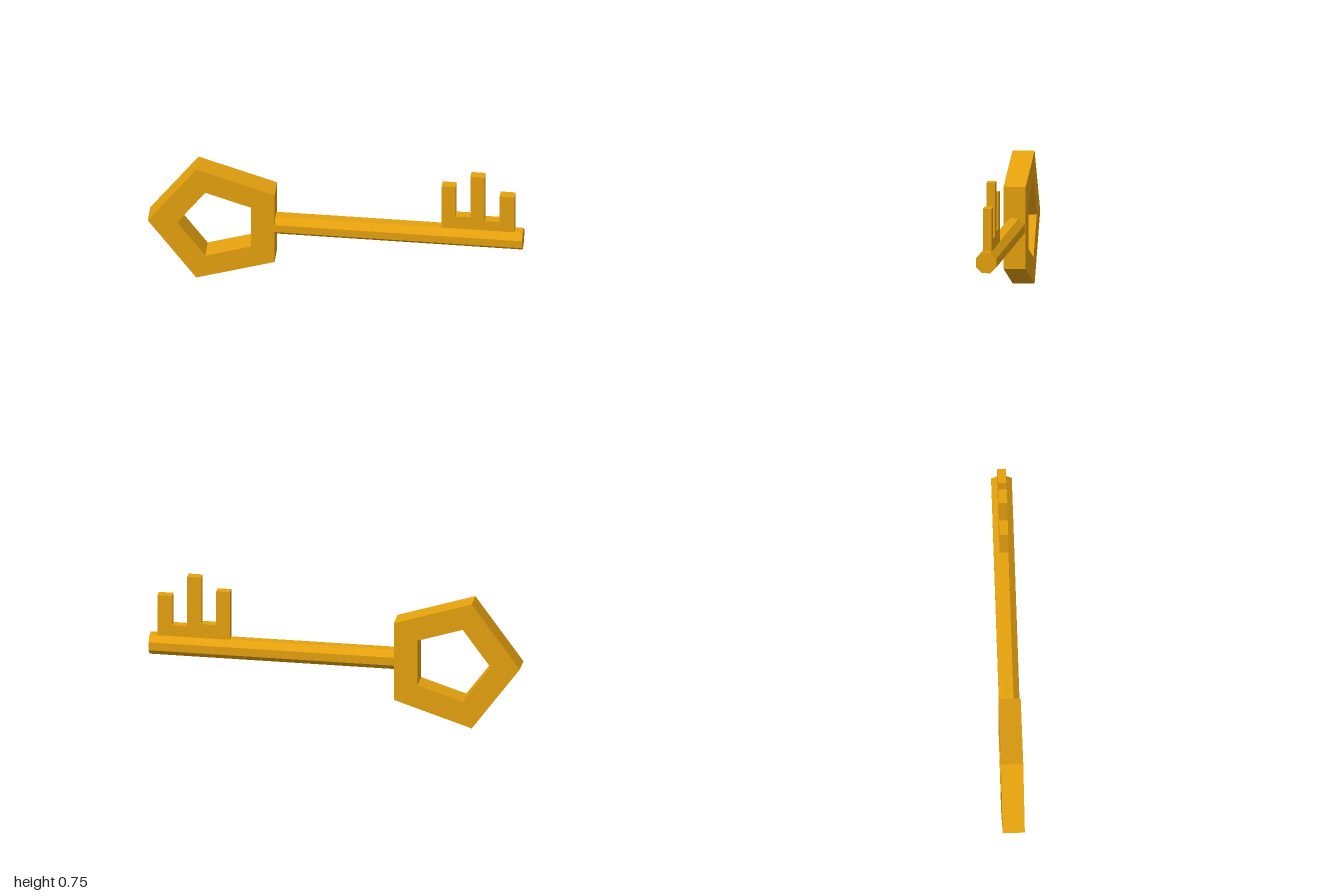
import * as THREE from 'three';

const MID_Y = 0.358;

export function createModel() {
  const group = new THREE.Group();
  group.name = 'key';
  const gold = new THREE.MeshStandardMaterial({ color: 0xe6a20e, flatShading: true });

  const add = (name, geometry) => {
    const mesh = new THREE.Mesh(geometry, gold);
    mesh.name = name;
    group.add(mesh);
    return mesh;
  };

  // Flat extrusion centred on z = 0
  const slab = (shape, depth) =>
    new THREE.ExtrudeGeometry(shape, { depth, bevelEnabled: false }).translate(0, 0, -depth / 2);

  // Regular pentagon with one corner pointing to -x
  const pentagon = (radius) =>
    Array.from({ length: 5 }, (_, i) => {
      const a = Math.PI + (i * Math.PI * 2) / 5;
      return new THREE.Vector2(Math.cos(a) * radius, Math.sin(a) * radius);
    });

  // Pentagonal ring handle
  const ring = new THREE.Shape(pentagon(0.375));
  ring.holes.push(new THREE.Path(pentagon(0.218).reverse()));
  add('bow', slab(ring, 0.118)).position.set(-0.625, MID_Y + 0.001, 0);

  // Octagonal shaft with flats on top, bottom and sides
  const start = -0.323, end = 1;
  const shaft = new THREE.CylinderGeometry(0.0595, 0.0595, end - start, 8);
  shaft.rotateY(Math.PI / 8).rotateZ(-Math.PI / 2);
  add('shaft', shaft).position.set((start + end) / 2, MID_Y - 0.002, 0);

  // Bit plate with three teeth of different heights
  const bit = new THREE.Shape([
    [0.567, 0.405], [0.957, 0.405], [0.957, 0.641], [0.877, 0.641],
    [0.877, 0.473], [0.797, 0.473], [0.797, 0.757], [0.721, 0.757],
    [0.721, 0.49], [0.641, 0.49], [0.641, 0.683], [0.567, 0.683],
  ].map(([x, y]) => new THREE.Vector2(x, y)));
  add('bit', slab(bit, 0.046)).position.z = -0.001;

  return group;
}
